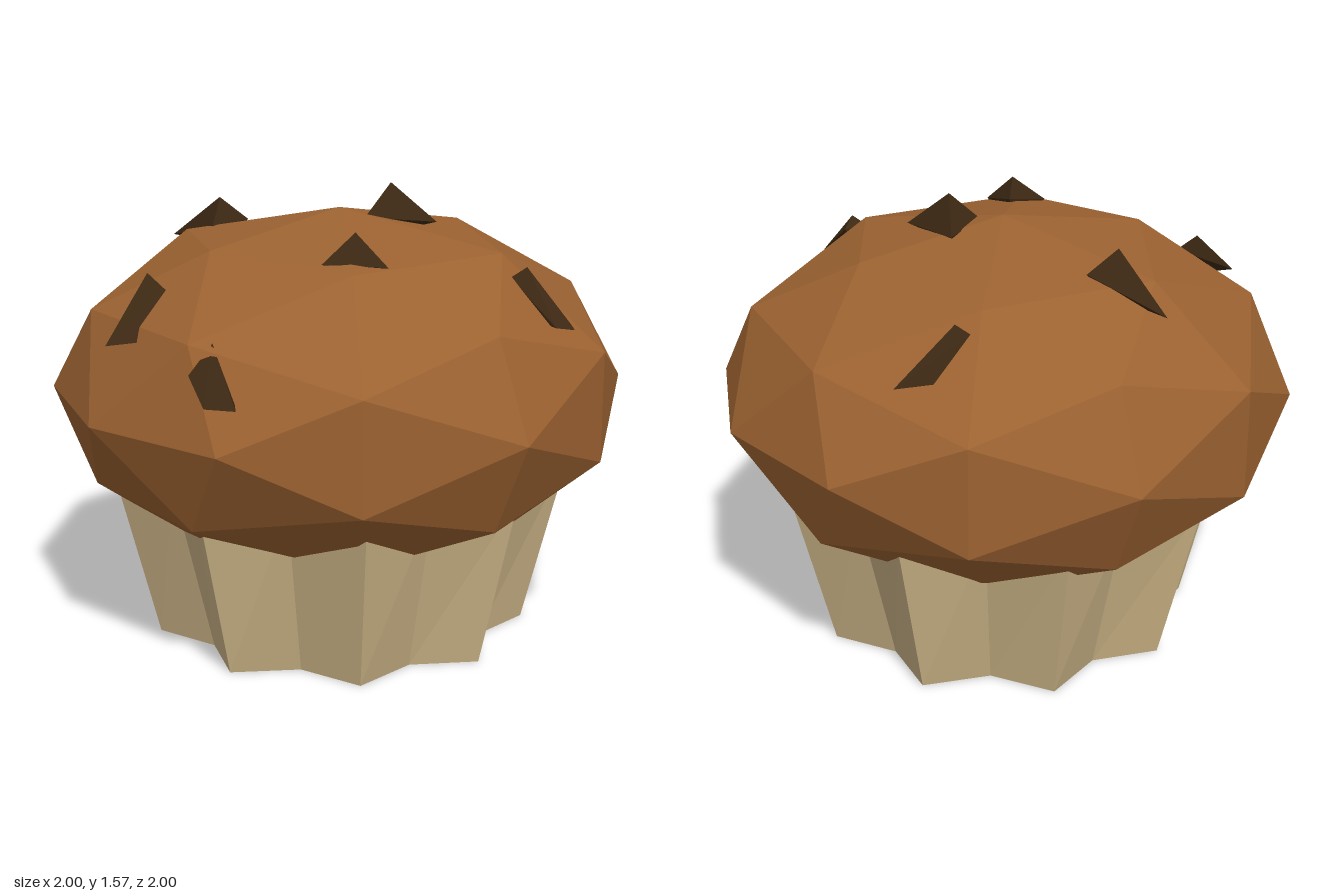
import * as THREE from 'three';
import { ConvexGeometry } from 'three/addons/geometries/ConvexGeometry.js';

const material = (name, color) => {
  const m = new THREE.MeshStandardMaterial({ color, flatShading: true });
  m.name = name;
  return m;
};

// Fluted paper cup: a cylinder whose corners alternate between two radii
function cupGeometry(height, outer, inner, flare) {
  const g = new THREE.CylinderGeometry(1, 1, height, 18, 1, false, Math.PI / 2);
  g.translate(0, height / 2, 0);
  const p = g.attributes.position;
  for (let i = 0; i < p.count; i++) {
    const x = p.getX(i), z = p.getZ(i);
    if (Math.hypot(x, z) < 0.5) continue;
    const a = Math.atan2(z, x);
    const k = Math.round(a / (Math.PI / 9));
    const r = (k % 2 === 0 ? outer : inner) + flare * p.getY(i);
    p.setX(i, Math.cos(a) * r);
    p.setZ(i, Math.sin(a) * r);
  }
  g.computeVertexNormals();
  return g;
}

export function createModel() {
  const model = new THREE.Group();
  model.name = 'muffin';
  const add = (name, geometry, mat) => {
    const mesh = new THREE.Mesh(geometry, mat);
    mesh.name = name;
    model.add(mesh);
  };
  const cake = material('baked brown', 0x9c6231);
  const paper = material('paper tan', 0xcdb587);
  const chocolate = material('dark chocolate', 0x3c2813);

  add('paperCup', cupGeometry(0.62, 0.66, 0.54, 0.25), paper);

  // Flattened faceted dome
  const dome = new THREE.IcosahedronGeometry(1, 1);
  dome.scale(1, 0.616, 1);
  dome.translate(0, 0.875, 0);
  add('cakeTop', dome, cake);

  // Chocolate shards: exposed corners, closed by one point buried in the cake
  const shards = [
    [[0.17, 1.57, 0.07], [0.05, 1.46, 0.08], [0.22, 1.46, -0.06], [0.27, 1.44, 0.2]],
    [[-0.22, 1.485, 0.39], [-0.34, 1.39, 0.37], [-0.17, 1.43, 0.31], [-0.17, 1.38, 0.5]],
    [[-0.2, 1.485, -0.45], [-0.25, 1.32, -0.69], [-0.27, 1.39, -0.39], [-0.1, 1.4, -0.42]],
    [[-0.72, 1.335, -0.08], [-0.68, 1.28, -0.12], [-0.68, 1.28, -0.03], [-0.94, 1.14, 0.02], [-0.83, 1.14, 0.04]],
    [[-0.75, 1.19, 0.36], [-0.84, 1.1, 0.36], [-0.855, 1.02, 0.47], [-0.79, 1.02, 0.55]],
    [[0.27, 1.31, 0.59], [0.315, 1.345, 0.62], [0.36, 1.31, 0.58], [0.305, 1.17, 0.78], [0.38, 1.17, 0.77], [0.35, 1.165, 0.82]],
    [[0.39, 1.34, -0.59], [0.42, 1.36, -0.54], [0.41, 1.29, -0.49], [0.63, 1.18, -0.54], [0.52, 1.2, -0.6]],
  ];
  shards.forEach((corners, i) => {
    const points = corners.map((c) => new THREE.Vector3(...c));
    const buried = new THREE.Vector3();
    points.forEach((v) => buried.addScaledVector(v, 1 / points.length));
    buried.lerp(new THREE.Vector3(0, 0.875, 0), 0.15);
    add(`chocolateChip${i + 1}`, new ConvexGeometry([...points, buried]), chocolate);
  });

  return model;
}
